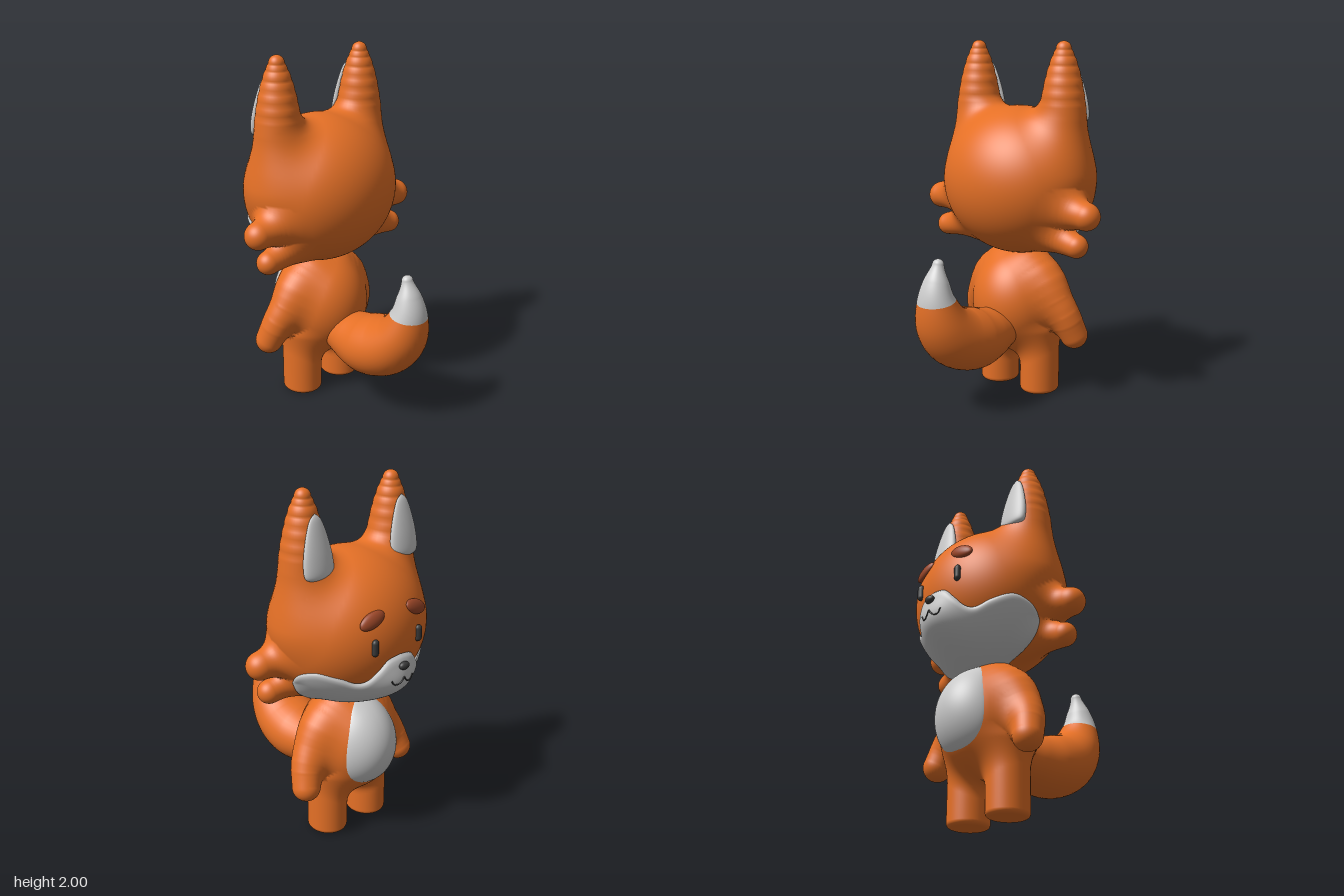
import * as THREE from 'three';
import { mergeVertices } from 'three/addons/utils/BufferGeometryUtils.js';
import { ParametricGeometry } from 'three/addons/geometries/ParametricGeometry.js';

const mat = (color, side = THREE.FrontSide) => new THREE.MeshStandardMaterial({ color, side });
const orange = mat(0xe57026);
const white = mat(0xcccccc, THREE.DoubleSide);
const dark = mat(0x3a3a3a);
const rust = mat(0x9c4728);

const V = (x, y, z) => new THREE.Vector3(x, y, z);
const { lerp, clamp, degToRad } = THREE.MathUtils;

// Limb stations: [x, y, z, radius], s mirrors them
const mirror = (stations, s) => stations.map(([x, y, z, r]) => [x * s, y, z, r]);
const EAR = [[0.3, 1.3, -0.165, 0.135], [0.3, 1.45, -0.165, 0.134], [0.3, 1.6, -0.165, 0.13],
  [0.3, 1.7, -0.165, 0.117], [0.3, 1.8, -0.165, 0.097], [0.3, 1.89, -0.165, 0.07], [0.3, 1.957, -0.165, 0.043]];
const UPPER_TUFT = [[0.34, 1.11, -0.1, 0.085], [0.45, 1.095, -0.083, 0.077], [0.525, 1.09, -0.08, 0.076]];
const LOWER_TUFT = [[0.28, 0.96, -0.1, 0.08], [0.38, 0.935, -0.08, 0.069], [0.467, 0.922, -0.075, 0.065]];
const ARM = [[0.1, 0.74, -0.17, 0.09], [0.195, 0.66, -0.17, 0.105], [0.26, 0.56, -0.175, 0.098],
  [0.315, 0.46, -0.198, 0.09], [0.35, 0.36, -0.232, 0.079]];
const TAIL = [[0, 0.4, 0, 0.12], [0, 0.388, 0.12, 0.148], [0, 0.39, 0.25, 0.172], [0, 0.435, 0.38, 0.168],
  [0, 0.53, 0.475, 0.142], [0, 0.665, 0.522, 0.1], [0, 0.77, 0.52, 0.066], [0, 0.86, 0.504, 0.03]];
const HEAD = { c: V(0, 1.228, -0.167), r: V(0.453, 0.418, 0.398) };
const TORSO = { c: V(0, 0.53, -0.172), r: V(0.266, 0.31, 0.28) };

const pathOf = st => new THREE.CatmullRomCurve3(st.map(s => V(s[0], s[1], s[2])));
const radiiOf = st => new THREE.SplineCurve(st.map((s, i) => new THREE.Vector2(i, s[3])));

// Distance rules for an ellipsoid, a limb and a leg
const ellipsoid = ({ c, r }) => p => {
  const d = p.clone().sub(c).divide(r);
  const k = d.length();
  return k * (k - 1) / Math.max(1e-6, d.divide(r).length());
};
function limb(stations) {
  const pts = pathOf(stations).getPoints(10), radii = radiiOf(stations).getPoints(10);
  const ab = V(), ap = V();
  return p => {
    let best = Infinity;
    for (let i = 0; i < 10; i++) {
      ab.subVectors(pts[i + 1], pts[i]);
      ap.subVectors(p, pts[i]);
      const t = clamp(ap.dot(ab) / ab.lengthSq(), 0, 1);
      best = Math.min(best, ap.addScaledVector(ab, -t).length() - lerp(radii[i].y, radii[i + 1].y, t));
    }
    return best;
  };
}
const leg = s => p => {
  const a = Math.hypot(p.x - 0.149 * s, (p.z + 0.177) / 1.07) - 0.085, b = Math.abs(p.y - 0.2) - 0.175;
  return Math.min(Math.max(a, b), 0) + Math.hypot(Math.max(a, 0), Math.max(b, 0)) - 0.025;
};

// Soft union of a core and its limbs
const soft = (core, limbs, k) => p => {
  const a = core(p), b = Math.min(...limbs.map(f => f(p)));
  const h = Math.max(k - Math.abs(a - b), 0) / k;
  return Math.min(a, b) - h * h * k / 4;
};
const both = st => [limb(st), limb(mirror(st, -1))];
const headField = soft(ellipsoid(HEAD), [EAR, UPPER_TUFT, LOWER_TUFT].flatMap(both), 0.12);
const bodyField = soft(ellipsoid(TORSO), [...both(ARM), leg(1), leg(-1)], 0.09);

// Moves a part's vertices onto the soft union so that neighbours flow together
function blend(g, field) {
  const pos = g.attributes.position, nor = g.attributes.normal;
  const p = V(), q = V(), n = V(), e = 1e-4;
  const gradient = f => {
    for (const axis of ['x', 'y', 'z']) {
      q.copy(p)[axis] += e;
      n[axis] = (field(q) - f) / e;
    }
  };
  for (let i = 0; i < pos.count; i++) {
    p.fromBufferAttribute(pos, i);
    if (field(p) < -0.05) continue;
    for (let step = 0; step < 5; step++) {
      const f = field(p);
      gradient(f);
      p.addScaledVector(n, -f / Math.max(0.1, n.lengthSq()));
    }
    gradient(field(p));
    n.normalize();
    pos.setXYZ(i, p.x, p.y, p.z);
    nor.setXYZ(i, n.x, n.y, n.z);
  }
  return g;
}

// How far along from + dir * t the surface of a field lies
function hit(field, from, dir, lo, hi) {
  for (let i = 0; i < 24; i++) {
    const mid = (lo + hi) / 2;
    if (field(from.clone().addScaledVector(dir, mid)) < 0) lo = mid; else hi = mid;
  }
  return lo;
}

// Smooth, welded surface from a rule
function surface(fn, nu, nv) {
  const g = new ParametricGeometry(fn, nu, nv);
  g.deleteAttribute('uv');
  g.deleteAttribute('normal');
  const m = mergeVertices(g, 1e-5);
  m.computeVertexNormals();
  return m;
}

// Round sweep along limb stations, far end rounded
function sweep(stations, ref, wide = 1, t0 = 0, t1 = 1) {
  const path = pathOf(stations), radii = radiiOf(stations);
  const body = t1 === 1 ? 0.75 : 1;
  return surface((u, v, out) => {
    const t = lerp(t0, t1, Math.min(1, v / body));
    const cap = v > body ? (v - body) / (1 - body) * Math.PI / 2 : 0;
    const T = path.getTangent(t);
    const N = ref.clone().cross(T).normalize();
    const B = T.clone().cross(N);
    const r = radii.getPoint(t).y, ring = r * Math.cos(cap), a = u * Math.PI * 2;
    out.copy(path.getPoint(t)).addScaledVector(T, r * Math.sin(cap))
      .addScaledVector(N, ring * Math.cos(a)).addScaledVector(B, ring * wide * Math.sin(a));
  }, 40, 48);
}

const curve = pts => new THREE.SplineCurve(pts.map(p => new THREE.Vector2(...p)));
const lathe = pts => new THREE.LatheGeometry(curve(pts).getPoints(48).map(p => p.setX(Math.max(0, p.x))), 40);
const ball = ({ x, y, z }, w = 32, h = 24) => new THREE.SphereGeometry(1, w, h).scale(x, y, z);

// Front of the head and muzzle
const muzzle = (x, y) => 0.08 * Math.exp(-((x / 0.18) ** 2) - ((y - 0.98) / 0.14) ** 2);
const headZ = (x, y, k = 1) => HEAD.c.z - HEAD.r.z * k * Math.sqrt(Math.max(0,
  1 - (x / (HEAD.r.x * k)) ** 2 - ((y - HEAD.c.y) / (HEAD.r.y * k)) ** 2));
const maskZ = (x, y) => headZ(x, y, 1.03) - muzzle(x, y);

export function createModel() {
  const model = new THREE.Group();
  const add = (name, geometry, material, x = 0, y = 0, z = 0) => {
    const m = new THREE.Mesh(geometry, material);
    m.name = name;
    m.position.set(x, y, z);
    model.add(m);
    return m;
  };

  // Head and torso
  add('head', blend(ball(HEAD.r, 112, 80).translate(...HEAD.c), headField), orange);
  add('torso', blend(ball(TORSO.r, 80, 64).translate(...TORSO.c), bodyField), orange);

  // Belly patch, laid over the front of the torso
  add('belly', surface((u, v, out) => {
    const a = u * Math.PI * 2, q = Math.sin(v * Math.PI / 2);
    const y = 0.577 + 0.243 * q * Math.sin(a);
    const x = 0.182 * q * Math.sign(Math.cos(a)) * Math.abs(Math.cos(a)) ** 0.85 * (1 - 0.2 * q * Math.sin(a));
    const depth = hit(bodyField, V(x, y, -0.172), V(0, 0, -1), 0, 0.4);
    out.set(x, y, -0.168 - depth - 0.036 * Math.sqrt(Math.max(0, 1 - q * q)));
  }, 64, 24), white);

  // Tail with pale tip
  add('tail', sweep(TAIL, V(1, 0, 0), 1.1, 0, 5 / 7), orange);
  add('tailTip', sweep(TAIL, V(1, 0, 0), 1.1, 5 / 7, 1), white);

  for (const s of [1, -1]) {
    const side = s > 0 ? 'left' : 'right';

    // Ear, cheek tufts and arm
    for (const [part, stations, field] of [['Ear', EAR, headField], ['UpperTuft', UPPER_TUFT, headField],
      ['LowerTuft', LOWER_TUFT, headField], ['Arm', ARM, bodyField]])
      add(side + part, blend(sweep(mirror(stations, s), V(0, 0, 1)), field), orange);

    // Leg
    const legShape = lathe([[0, 0], [0.085, 0.001], [0.103, 0.008], [0.11, 0.026], [0.11, 0.15],
      [0.11, 0.27], [0.11, 0.39]]).scale(1, 1, 1.07).translate(0.149 * s, 0, -0.177);
    add(side + 'Leg', blend(legShape, bodyField), orange);

    // Inner ear
    const inner = add(side + 'InnerEar', lathe([[0, 0], [0.06, 0.004], [0.091, 0.03], [0.09, 0.11],
      [0.068, 0.21], [0.037, 0.295], [0, 0.33]]).scale(1, 1, 0.37), white, 0.296 * s, 1.56, -0.287);
    inner.rotation.x = 0.11;

    // Eye
    const eye = add(side + 'Eye', new THREE.CapsuleGeometry(0.021, 0.05, 8, 20).scale(1, 1, 0.8), dark,
      0.153 * s, 1.235, headZ(0.153, 1.235) - 0.003);
    eye.rotation.y = 0.3 * s;

    // Brow
    const brow = add(side + 'Brow', ball(V(0.078, 0.04, 0.024)), rust,
      0.152 * s, 1.375, headZ(0.152, 1.375) - 0.002);
    brow.rotation.set(0.3, -0.18 * s, -0.35 * s, 'YXZ');
  }

  // Pale face mask: lower front of the head, with a wavy upper edge
  const edge = curve([[0, 1.17], [10, 1.155], [18, 1.1], [26, 1.045], [34, 1.035], [45, 1.07],
    [60, 1.1], [72, 1.08], [80, 1.05], [88, 1]]).getPoints(120);
  const edgeY = deg => {
    const i = Math.max(1, edge.findIndex(q => q.x >= deg - 1e-6));
    const a = edge[i - 1], b = edge[i];
    return lerp(a.y, b.y, (deg - a.x) / (b.x - a.x));
  };
  add('faceMask', surface((u, v, out) => {
    const deg = lerp(88, -88, u), az = degToRad(deg);
    const top = Math.asin((edgeY(Math.abs(deg)) - HEAD.c.y) / HEAD.r.y);
    const lat = lerp(-Math.PI / 2, top, v);
    const rim = Math.min(1, (1 - v) / 0.07, Math.min(u, 1 - u) / 0.04);
    const front = Math.cos(lat) * Math.cos(az);
    const dir = V(Math.cos(lat) * Math.sin(az), Math.sin(lat), -front).multiply(HEAD.r);
    const k = hit(headField, HEAD.c, dir, 0.9, 1.3) * (0.99 + 0.04 * Math.sqrt(1 - (1 - rim) ** 2));
    out.copy(HEAD.c).addScaledVector(dir, k);
    out.z -= muzzle(out.x, out.y) * clamp(front * 3, 0, 1);
  }, 120, 60), white);

  // Nose and mouth
  add('nose', ball(V(0.032, 0.022, 0.02)), dark, 0, 1.115, maskZ(0, 1.115) - 0.006);
  const mouth = [[-0.075, 1.045], [-0.058, 1.02], [-0.035, 1.018], [-0.012, 1.035], [0, 1.052],
    [0.012, 1.035], [0.035, 1.018], [0.058, 1.02], [0.075, 1.045]];
  add('mouth', new THREE.TubeGeometry(new THREE.CatmullRomCurve3(
    mouth.map(([x, y]) => V(x, y, maskZ(x, y) - 0.001))), 64, 0.004, 8), dark);

  return model;
}
